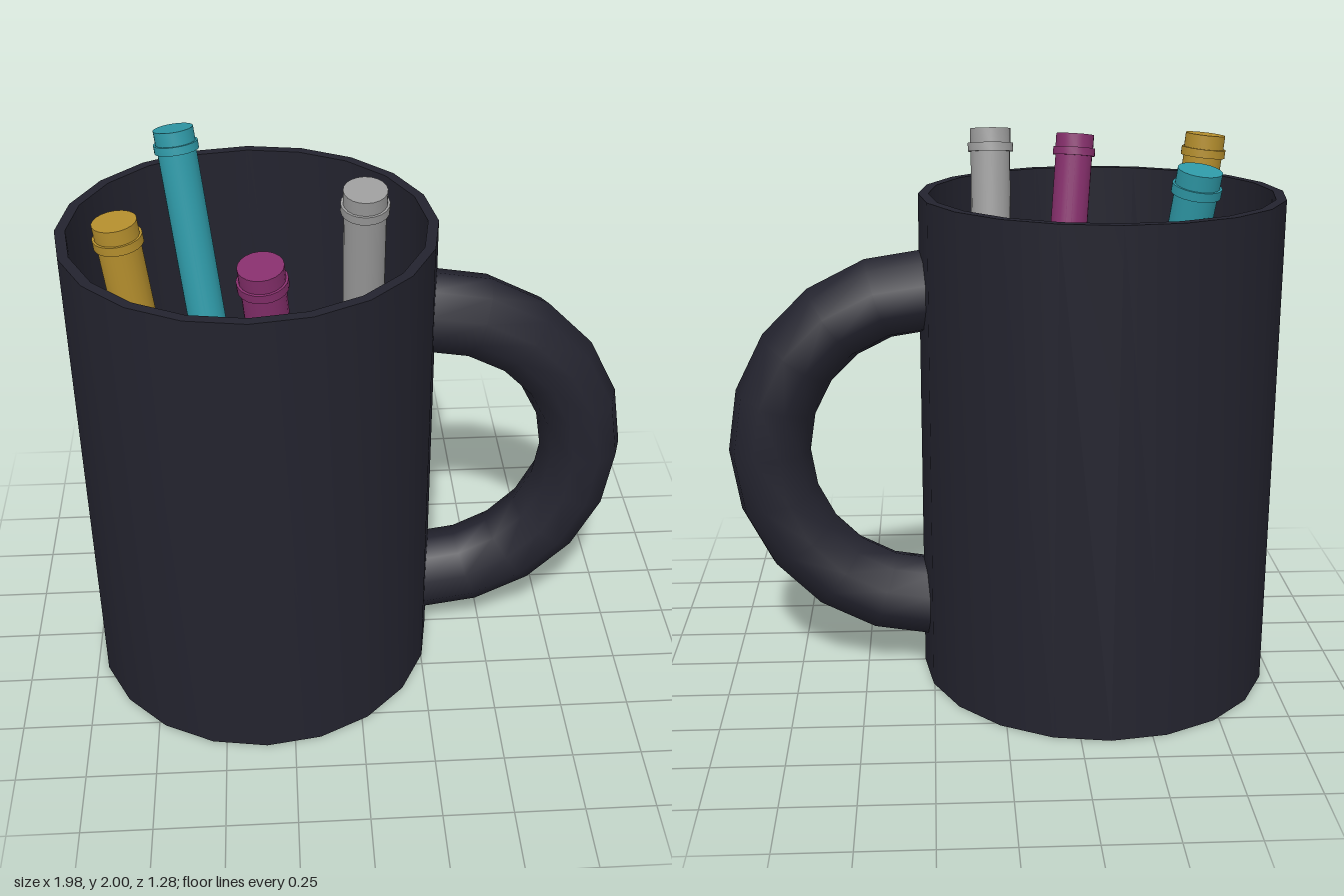
import * as THREE from 'three';
import { toCreasedNormals } from 'three/addons/utils/BufferGeometryUtils.js';

const paint = (name, color) => {
  const material = new THREE.MeshStandardMaterial({ color });
  material.name = name;
  return material;
};

// Turned solid with smooth sides and sharp rims
const turned = (profile, sides) => toCreasedNormals(
  new THREE.LatheGeometry(profile.map(([r, y]) => new THREE.Vector2(r, y)), sides), 0.7);

function add(parent, name, geometry, material) {
  const mesh = new THREE.Mesh(geometry, material);
  mesh.name = name;
  parent.add(mesh);
  return mesh;
}

// A marker leaning from its foot on the mug floor to its top
function makeMarker(name, material, foot, top) {
  const marker = new THREE.Group();
  marker.name = name;
  const axis = new THREE.Vector3(...top).sub(new THREE.Vector3(...foot));
  const length = axis.length();
  const r = 0.07, ringR = 0.08, ringY = length - 0.065;
  add(marker, 'barrel', turned([[0, 0], [r, 0], [r, ringY], [0, ringY]], 20), material);
  add(marker, 'capRing', turned(
    [[0, ringY - 0.015], [ringR, ringY - 0.015], [ringR, ringY + 0.015], [0, ringY + 0.015]], 20), material);
  add(marker, 'cap', turned([[0, ringY], [r + 0.002, ringY], [r + 0.002, length], [0, length]], 20), material);
  marker.position.set(...foot);
  marker.quaternion.setFromUnitVectors(new THREE.Vector3(0, 1, 0), axis.normalize());
  return marker;
}

export function createModel() {
  const model = new THREE.Group();
  model.name = 'mugOfMarkers';

  const ceramic = paint('darkCeramic', 0x23232e);
  const gold = paint('gold', 0xb48e2d);
  const teal = paint('teal', 0x2e98a6);
  const magenta = paint('magenta', 0x862f6c);
  const silver = paint('silver', 0x9c9c9c);

  // Hollow mug body
  const R = 0.638, inner = 0.602, H = 1.785, floor = 0.08;
  const body = add(model, 'mugBody', turned(
    [[0, 0], [R, 0], [R, H], [inner, H], [inner, floor], [0, floor]], 20), ceramic);
  body.position.x = -0.353;

  // Half-ring handle on the mug's left
  const handle = add(model, 'handle', new THREE.TorusGeometry(0.587, 0.148, 10, 10, Math.PI), ceramic);
  handle.rotation.z = -Math.PI / 2;
  handle.position.set(0.25, 0.857, 0);

  // Markers leaning in the mug
  model.add(
    makeMarker('goldMarker', gold, [-0.56, floor, 0.23], [-0.76, 1.95, 0.27]),
    makeMarker('tealMarker', teal, [-0.39, floor, -0.15], [-0.61, 1.93, -0.48]),
    makeMarker('magentaMarker', magenta, [-0.175, floor, 0.215], [-0.31, 1.92, 0.53]),
    makeMarker('silverMarker', silver, [0.03, floor, -0.17], [0.027, 1.986, 0.17]),
  );
  return model;
}
